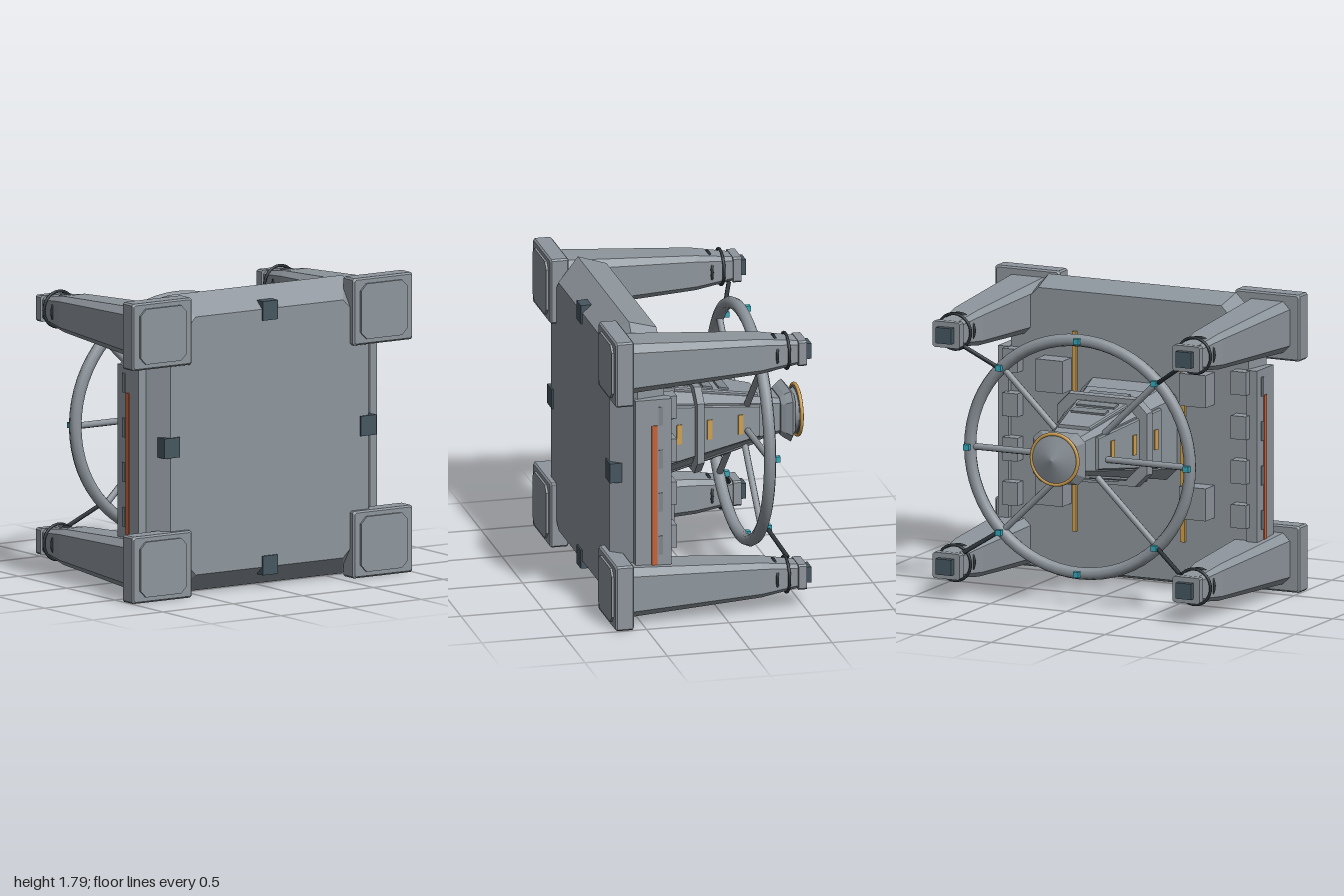
import * as THREE from 'three';

const mat = (name, color) => {
  const m = new THREE.MeshStandardMaterial({ color });
  m.name = name;
  return m;
};

// Closed loft through chamfered rectangles: [height, halfX, halfZ, chamfer]
function loft(sections) {
  const rings = sections.map(([h, x, z, c]) => [
    [x, c - z], [x - c, -z], [c - x, -z], [-x, c - z],
    [-x, z - c], [c - x, z], [x - c, z], [x, z - c],
  ].map(([px, pz]) => [px, h, pz]));
  const pos = [];
  const tri = (...p) => p.forEach(v => pos.push(...v));
  for (let s = 0; s < rings.length - 1; s++) {
    for (let i = 0; i < 8; i++) {
      const j = (i + 1) % 8, lo = rings[s], hi = rings[s + 1];
      tri(lo[i], lo[j], hi[j]);
      tri(lo[i], hi[j], hi[i]);
    }
  }
  const bottom = rings[0], top = rings[rings.length - 1];
  for (let i = 1; i < 7; i++) {
    tri(bottom[0], bottom[i + 1], bottom[i]);
    tri(top[0], top[i], top[i + 1]);
  }
  const g = new THREE.BufferGeometry();
  g.setAttribute('position', new THREE.Float32BufferAttribute(pos, 3));
  g.computeVertexNormals();
  return g;
}

export function createModel() {
  const hull = mat('hull grey', 0x8e969d);
  const trim = mat('trim grey', 0x7f878d);
  const dark = mat('dark slate', 0x465660);
  const cable = mat('cable black', 0x2b3338);
  const gold = mat('gold', 0xcfa050);
  const orange = mat('orange', 0xc8623a);
  const cyan = mat('cyan', 0x35a9ba);

  const model = new THREE.Group();
  model.name = 'station';
  // Parts are built upright, then the whole station is laid down, base to the front
  const root = new THREE.Group();
  root.name = 'stationBody';
  root.rotation.x = -Math.PI / 2;
  root.position.y = 0.905;
  model.add(root);

  const add = (parent, name, geo, material, x = 0, y = 0, z = 0) => {
    const m = new THREE.Mesh(geo, material);
    m.name = name;
    m.position.set(x, y, z);
    parent.add(m);
    return m;
  };
  const group = (parent, name, x = 0, y = 0, z = 0) => {
    const g = new THREE.Group();
    g.name = name;
    g.position.set(x, y, z);
    parent.add(g);
    return g;
  };
  const box = (x, y, z) => new THREE.BoxGeometry(x, y, z);
  const rod = (parent, name, a, b, r, material, sides = 8) => {
    const from = new THREE.Vector3(...a), dir = new THREE.Vector3(...b).sub(from);
    const m = add(parent, name, new THREE.CylinderGeometry(r, r, dir.length(), sides), material);
    m.position.copy(from).addScaledVector(dir, 0.5);
    m.quaternion.setFromUnitVectors(new THREE.Vector3(0, 1, 0), dir.normalize());
  };

  // Main slab
  add(root, 'mainSlab', loft([
    [-0.65, 0.705, 0.77, 0.18], [-0.51, 0.815, 0.89, 0.2], [-0.34, 0.78, 0.84, 0.18],
  ]), hull);

  // Dark fittings on the base edges
  for (const s of [-1, 1]) {
    add(root, 'edgeFitting', box(0.105, 0.08, 0.115), dark, 0, -0.62, s * 0.76);
    add(root, 'edgeFitting', box(0.11, 0.08, 0.12), dark, s * 0.7, -0.62, 0.005);
  }

  // Side panels with blocks, slots and a stripe
  for (const s of [-1, 1]) {
    const side = group(root, 'sidePanel');
    add(side, 'panel', box(0.07, 0.22, 1.03), hull, s * 0.815, -0.42, -0.04);
    add(side, 'stripe', box(0.008, 0.033, 0.87), orange, s * 0.852, -0.415, -0.12);
    for (let i = 0; i < 4; i++) {
      const z = -0.43 + i * 0.267;
      add(side, 'slot', box(0.014, 0.025, 0.115), trim, s * 0.85, -0.378, z);
      add(side, 'edgeBlock', box(0.1, 0.12, 0.14), hull, s * 0.75, -0.325, z + 0.03);
    }
    // Large deck blocks and long light strips
    for (const t of [-1, 1])
      add(root, 'deckBlock', box(0.175, 0.14, 0.195), hull, s * 0.47, -0.29, t * 0.34);
    add(root, 'deckLight', box(0.028, 0.03, 1.2), gold, s * 0.355, -0.335, 0);
  }

  // Four corner legs
  const legGeo = loft([
    [-0.6, 0.15, 0.155, 0.045], [0.23, 0.107, 0.107, 0.03], [0.47, 0.072, 0.072, 0.02],
  ]);
  const footGeo = loft([
    [-0.687, 0.203, 0.19, 0.01], [-0.677, 0.212, 0.2, 0.01],
    [-0.583, 0.212, 0.2, 0.01], [-0.573, 0.203, 0.19, 0.01],
  ]);
  const soleGeo = loft([[-0.7, 0.165, 0.165, 0.04], [-0.68, 0.165, 0.165, 0.04]]);
  const capGeo = loft([[0.455, 0.088, 0.078, 0.01], [0.505, 0.088, 0.078, 0.01]]);
  for (const sx of [-1, 1]) for (const sz of [-1, 1]) {
    const leg = group(root, 'cornerLeg', sx * 0.787, 0, sz * 0.695);
    add(leg, 'legShaft', legGeo, hull);
    add(leg, 'foot', footGeo, hull);
    add(leg, 'sole', soleGeo, hull);
    add(leg, 'legCap', capGeo, hull);
    add(leg, 'legTip', box(0.1, 0.05, 0.095), dark, 0, 0.517, 0);
    for (const [h, r] of [[0.325, 0.097], [0.395, 0.107]])
      add(leg, 'legBand', new THREE.TorusGeometry(r, 0.009, 8, 32), cable, 0, h, 0).rotation.x = Math.PI / 2;
    rod(root, 'legStrut', [sx * 0.71, 0.43, sz * 0.62], [sx * 0.53, 0.355, sz * 0.5], 0.013, cable);
  }

  // Ring with nodes and spokes
  const ring = group(root, 'ring', 0, 0.32, 0);
  ring.scale.x = 1.03;
  add(ring, 'ringTube', new THREE.TorusGeometry(0.7, 0.037, 8, 64), hull).rotation.x = Math.PI / 2;
  for (let i = 0; i < 8; i++) {
    const a = i * Math.PI / 4, c = Math.cos(a), s = Math.sin(a);
    add(ring, 'ringNode', box(0.034, 0.034, 0.034), cyan, c * 0.7, 0.043, s * 0.7);
    if (i % 4 !== 2) rod(ring, 'spoke', [c * 0.1, 0, s * 0.1], [c * 0.69, 0, s * 0.69], 0.02, hull);
  }

  // Tapered tower
  const tower = group(root, 'tower', 0, 0, 0.047);
  const hx = h => 0.31 - 0.2 * (h + 0.34) / 0.88;
  const hz = h => 0.285 - 0.178 * (h + 0.34) / 0.88;
  add(tower, 'towerHull', loft([-0.35, 0.56].map(h => [h, hx(h), hz(h), hx(h) * 0.22])), hull);
  add(tower, 'armourPlates', loft([-0.17, 0.4].map(h => [h, hx(h) * 0.74, hz(h) + 0.02, 0.008])), hull);
  add(tower, 'armourPlates', loft([-0.17, 0.4].map(h => [h, hx(h) + 0.02, hz(h) * 0.72, 0.008])), hull);
  add(tower, 'towerCollar', loft([[-0.018, 0.308, 0.268, 0.08], [0.03, 0.295, 0.262, 0.08]]), hull);

  // Tower windows and louvres, repeated on the opposite faces
  for (const turn of [0, Math.PI]) {
    const face = group(tower, 'towerDetails');
    face.rotation.y = turn;
    for (const h of [-0.12, 0.075, 0.275])
      add(face, 'window', box(0.009, 0.033, 0.12), gold, hx(h) + 0.022, h, 0).rotation.z = Math.atan(0.2 / 0.88);
    for (const [h, w] of [[-0.06, 0.26], [0.09, 0.25], [0.19, 0.22]])
      add(face, 'louvre', box(w, 0.06, 0.024), trim, 0, h, hz(h) + 0.02).rotation.x = -Math.atan(0.178 / 0.88);
  }

  // Tower head: flared collar, neck, gold rim and cone
  add(tower, 'headCollar', loft([
    [0.535, 0.13, 0.115, 0.035], [0.56, 0.15, 0.135, 0.045],
    [0.597, 0.172, 0.155, 0.05], [0.625, 0.125, 0.125, 0.04],
  ]), hull);
  add(tower, 'neck', new THREE.CylinderGeometry(0.135, 0.12, 0.04, 32), hull, 0, 0.635, 0);
  add(tower, 'rim', new THREE.TorusGeometry(0.152, 0.011, 8, 48), gold, 0, 0.657, 0).rotation.x = Math.PI / 2;
  add(tower, 'rimPlate', new THREE.CylinderGeometry(0.152, 0.14, 0.016, 48), hull, 0, 0.654, 0);
  add(tower, 'cone', new THREE.ConeGeometry(0.152, 0.045, 48), hull, 0, 0.682, 0);

  return model;
}
